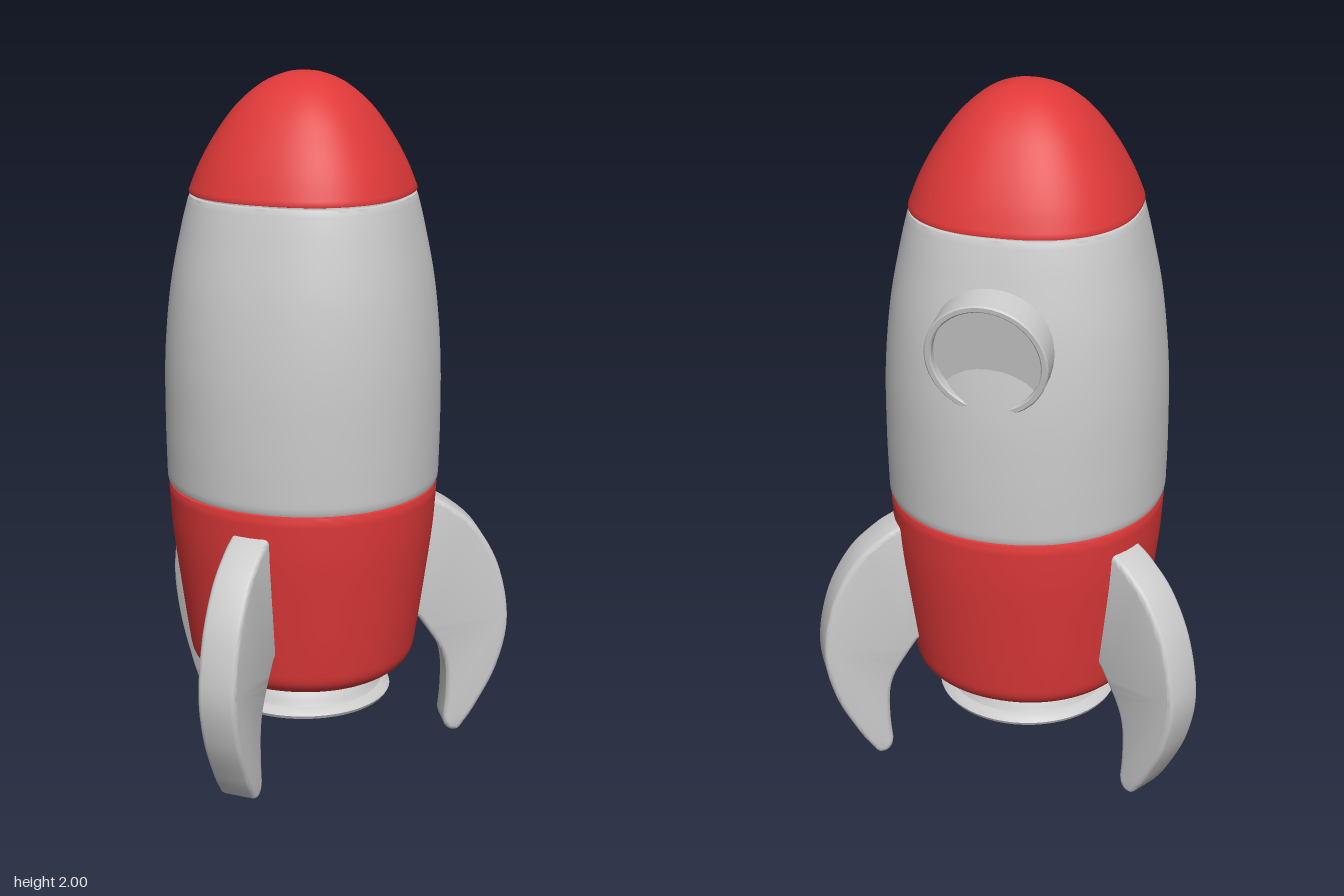
import * as THREE from 'three';
import { toCreasedNormals } from 'three/addons/utils/BufferGeometryUtils.js';

const CENTER_Z = -0.09;

const grey = new THREE.MeshStandardMaterial({ color: 0xcccccc });
const red = new THREE.MeshStandardMaterial({ color: 0xe03939 });

function part(name, geometry, material) {
  const mesh = new THREE.Mesh(geometry, material);
  mesh.name = name;
  return mesh;
}

const vectors = (pairs) => pairs.map(([a, b]) => new THREE.Vector2(a, b));

// Smooth curve through a few [radius, height] points
const smooth = (pairs, steps = 28) => new THREE.SplineCurve(vectors(pairs)).getPoints(steps);

// Lathe whose cross-section turns slightly squarish towards the nose
function hull(points) {
  const geometry = new THREE.LatheGeometry(points, 72);
  const pos = geometry.attributes.position;
  for (let i = 0; i < pos.count; i++) {
    const x = pos.getX(i), y = pos.getY(i), z = pos.getZ(i);
    const r = Math.hypot(x, z);
    if (r < 1e-6) continue;
    const n = 2.08 + 0.3 * THREE.MathUtils.smoothstep(y, 0.9, 1.66);
    const f = Math.pow(Math.pow(Math.abs(x) / r, n) + Math.pow(Math.abs(z) / r, n), -1 / n);
    pos.setXYZ(i, x * f, y, z * f);
  }
  return toCreasedNormals(geometry, 0.6);
}

// Fin outline: x is the distance from the rocket's axis
function finGeometry() {
  const s = new THREE.Shape();
  s.moveTo(0.3, 0.755);
  s.lineTo(0.38, 0.755);
  s.splineThru(vectors([
    [0.44, 0.722], [0.52, 0.65], [0.587, 0.525], [0.617, 0.36],
    [0.588, 0.21], [0.525, 0.08], [0.48, 0.012],
  ]));
  s.quadraticCurveTo(0.472, 0.0, 0.455, 0.002);
  s.quadraticCurveTo(0.428, 0.008, 0.426, 0.045);
  s.splineThru(vectors([[0.432, 0.12], [0.43, 0.21], [0.408, 0.28], [0.345, 0.375]]));
  s.lineTo(0.29, 0.42);
  s.closePath();
  const bevel = 0.014;
  const geometry = new THREE.ExtrudeGeometry(s, {
    depth: 0.114 - 2 * bevel, curveSegments: 6,
    bevelEnabled: true, bevelThickness: bevel, bevelSize: bevel, bevelOffset: -bevel, bevelSegments: 3,
  });
  geometry.translate(0, 0, -0.057 + bevel);
  return toCreasedNormals(geometry, 0.7);
}

export function createModel() {
  const model = new THREE.Group();
  const rocket = new THREE.Group();
  rocket.name = 'rocket';
  rocket.position.z = CENTER_Z;
  model.add(rocket);

  // Hull sections
  const lower = [
    ...smooth([[0.255, 0.25], [0.295, 0.263], [0.325, 0.295], [0.338, 0.36], [0.36, 0.52], [0.38, 0.68], [0.389, 0.81]]),
    ...vectors([[0.386, 0.82], [0.376, 0.822]]),
  ];
  rocket.add(part('lowerHull', hull(lower), red));

  const middle = [
    ...vectors([[0.376, 0.818], [0.379, 0.826], [0.389, 0.828], [0.392, 0.836]]),
    ...smooth([[0.393, 0.85], [0.395, 1.0], [0.389, 1.2], [0.367, 1.4], [0.333, 1.57], [0.313, 1.652]]),
    ...vectors([[0.309, 1.661], [0.3, 1.663], [0.3, 1.675]]),
  ];
  rocket.add(part('middleHull', hull(middle), grey));

  const nose = [
    ...vectors([[0.3, 1.667], [0.31, 1.669]]),
    ...smooth([[0.311, 1.674], [0.283, 1.745], [0.24, 1.825], [0.183, 1.905], [0.115, 1.965], [0.05, 1.994], [0, 2.0]]),
  ];
  rocket.add(part('noseCone', hull(nose), red));

  // Engine nozzle with the plate that closes the hull
  const nozzle = vectors([
    [0, 0.143], [0.19, 0.143], [0.235, 0.15], [0.258, 0.16], [0.263, 0.17], [0.255, 0.179],
    [0.235, 0.187], [0.228, 0.2], [0.222, 0.218], [0.21, 0.232], [0.2, 0.24], [0.198, 0.252], [0.265, 0.252],
  ]);
  rocket.add(part('nozzle', toCreasedNormals(new THREE.LatheGeometry(nozzle, 56), 0.6),
    new THREE.MeshStandardMaterial({ color: 0xcccccc, side: THREE.DoubleSide })));

  // Three fins, one pointing to the front
  const fin = finGeometry();
  for (let i = 0; i < 3; i++) {
    const mesh = part('fin', fin, grey);
    mesh.rotation.y = -Math.PI / 2 + (i * 2 * Math.PI) / 3;
    rocket.add(mesh);
  }

  // Round window on the back, leaning with the hull
  const porthole = new THREE.Group();
  porthole.name = 'porthole';
  porthole.position.set(0, 1.365, -0.407);
  porthole.rotation.x = -Math.PI / 2 - 0.165;
  const rim = vectors([
    [0.167, -0.09], [0.167, -0.004], [0.163, 0], [0.151, 0], [0.147, -0.004], [0.147, -0.026],
  ]);
  porthole.add(part('windowRim', toCreasedNormals(new THREE.LatheGeometry(rim, 40), 0.6), grey));
  const glass = new THREE.CircleGeometry(0.148, 40);
  glass.rotateX(-Math.PI / 2);
  glass.translate(0, -0.025, 0);
  porthole.add(part('windowGlass', glass, grey));
  rocket.add(porthole);

  return model;
}
